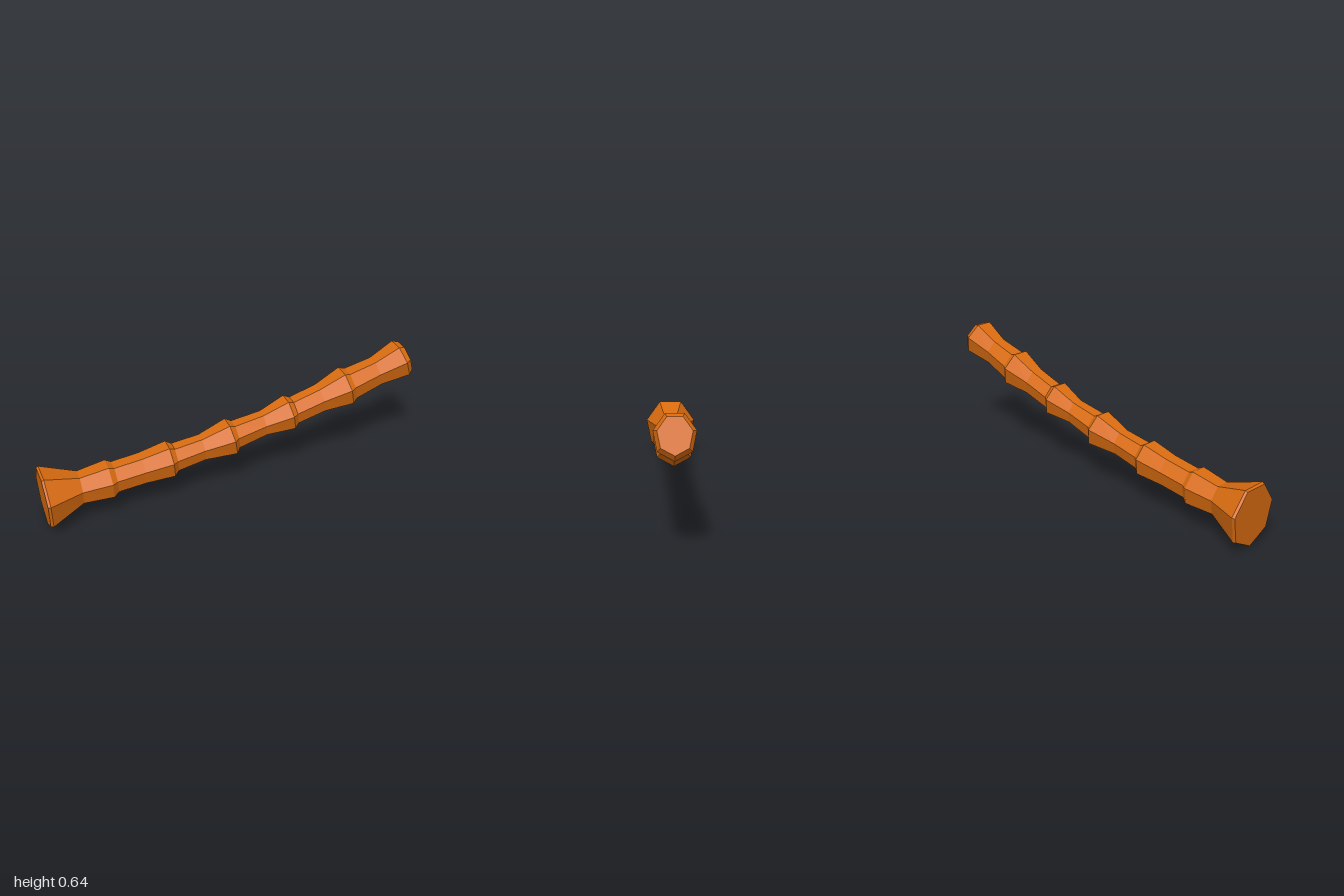
import * as THREE from 'three';

const SIDES = 7;
const DEPTH = 0.89; // the cross-section is slightly narrower in z than in height

// Ring stations along the stalk: [topX, topY, bottomX, bottomY]
const RINGS = [
  // flared foot with a thin lip
  [-1.0, 0.305, -0.985, 0.004], [-0.988, 0.311, -0.97, 0.0], [-0.81, 0.257, -0.805, 0.09],
  // segments: collar edge, step behind it, narrow middle
  [-0.665, 0.283, -0.65, 0.088], [-0.635, 0.27, -0.623, 0.112], [-0.49, 0.289, -0.484, 0.128],
  [-0.35, 0.321, -0.33, 0.134], [-0.32, 0.305, -0.307, 0.16], [-0.174, 0.326, -0.163, 0.19],
  [-0.03, 0.38, 0.008, 0.19], [0.003, 0.366, 0.024, 0.22], [0.158, 0.392, 0.174, 0.262],
  [0.291, 0.449, 0.329, 0.267], [0.323, 0.437, 0.35, 0.294], [0.468, 0.481, 0.5, 0.335],
  [0.602, 0.548, 0.655, 0.348], [0.634, 0.54, 0.676, 0.374], [0.778, 0.577, 0.821, 0.428],
  // bevelled tip
  [0.906, 0.645, 0.977, 0.455], [0.94, 0.638, 0.995, 0.483],
];

// Heptagon standing on a corner, flat side up, spanning top to bottom point
function ringPoints([tx, ty, bx, by]) {
  const rise = 1 + Math.cos(Math.PI / SIDES);
  const radius = Math.hypot(tx - bx, ty - by) / rise;
  return Array.from({ length: SIDES }, (_, k) => {
    const a = (k / SIDES) * Math.PI * 2;
    const t = (1 - Math.cos(a)) / rise;
    return new THREE.Vector3(bx + (tx - bx) * t, by + (ty - by) * t, Math.sin(a) * radius * DEPTH);
  });
}

function loft(rings) {
  const points = rings.flat();
  const index = [];
  for (let r = 0; r < rings.length - 1; r++) {
    for (let k = 0; k < SIDES; k++) {
      const a = r * SIDES + k;
      const b = r * SIDES + ((k + 1) % SIDES);
      index.push(a, a + SIDES, b, b, a + SIDES, b + SIDES);
    }
  }
  // flat end caps
  const last = (rings.length - 1) * SIDES;
  for (let k = 1; k < SIDES - 1; k++) {
    index.push(0, k, k + 1, last, last + k + 1, last + k);
  }
  const indexed = new THREE.BufferGeometry().setFromPoints(points);
  indexed.setIndex(index);
  const geometry = indexed.toNonIndexed();
  geometry.computeVertexNormals();
  return geometry;
}

export function createModel() {
  const group = new THREE.Group();
  group.name = 'segmentedStalk';
  const material = new THREE.MeshStandardMaterial({ color: 0xd96c10, flatShading: true });
  const stalk = new THREE.Mesh(loft(RINGS.map(ringPoints)), material);
  stalk.name = 'stalk';
  group.add(stalk);
  return group;
}
